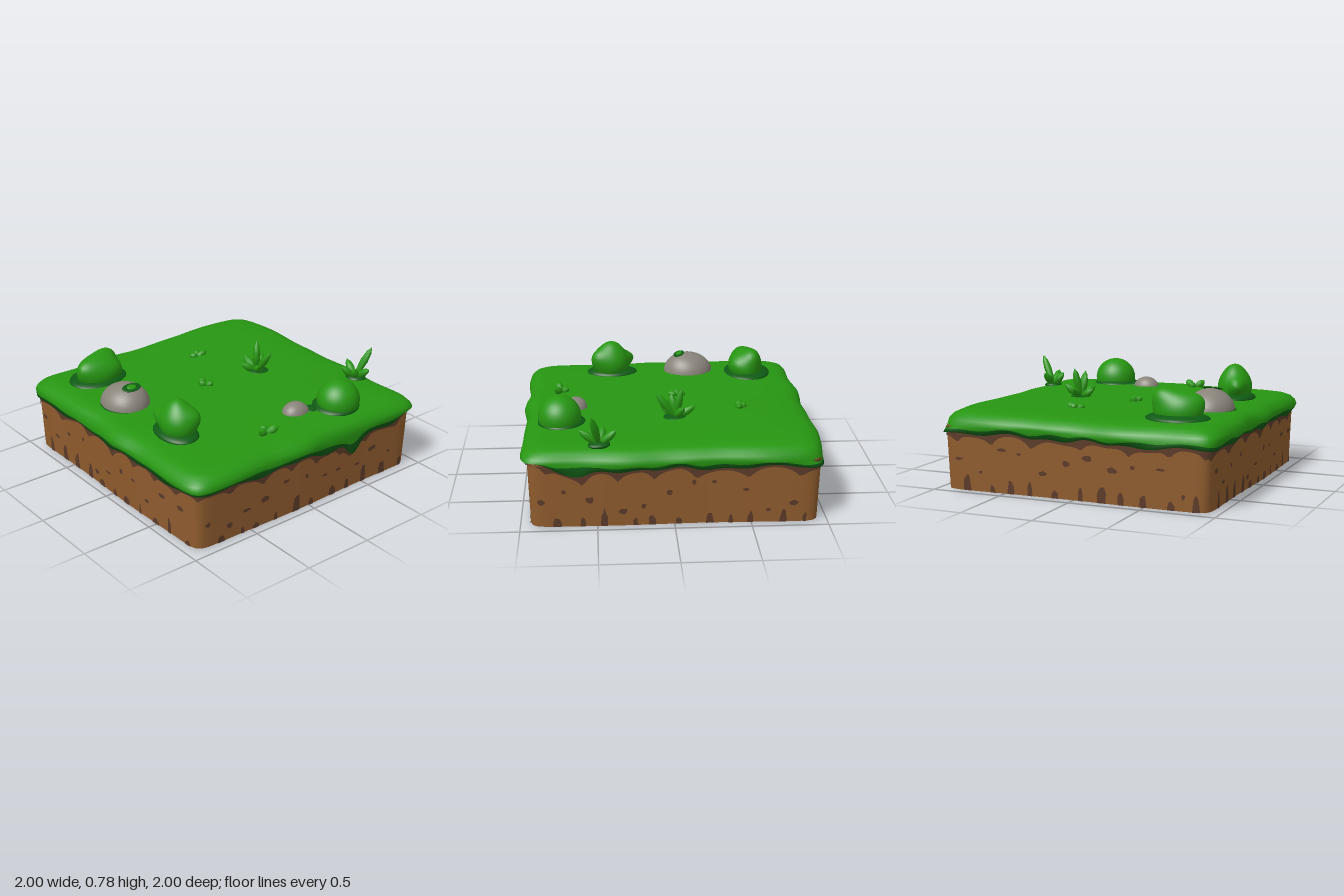
import * as THREE from 'three';

const mat = (name, color, side = THREE.FrontSide) =>
  Object.assign(new THREE.MeshStandardMaterial({ color, side }), { name });

let seed = 11;
const rnd = () => (seed = (seed * 16807) % 2147483647) / 2147483647;
const bell = (x, c, w) => Math.exp(-(((x - c) / w) ** 2));
const N = 360;
const V = (x, y, z) => new THREE.Vector3(x, y, z);

// Rounded square outline: radius factor at angle a
const square = (a, n) => (Math.abs(Math.cos(a)) ** n + Math.abs(Math.sin(a)) ** n) ** (-1 / n);

// Point on the soil wall, pushed out by off
function wall(a, y, off = 0) {
  const r = (0.94 + 0.03 * y + 0.006 * Math.sin(5 * a + 1) + off) * square(a, 24);
  return V(r * Math.cos(a), y, r * Math.sin(a));
}

// Point on the grass rim, scaled towards the centre
function rim(a, k, y) {
  const r = (0.985 + 0.009 * Math.sin(9 * a + 1) + 0.006 * Math.sin(14 * a)) * square(a, 15) * k;
  return V(r * Math.cos(a), y, r * Math.sin(a));
}

// Lower edge of the turf, with drips on the right and back
function turfEdge(a) {
  const c = Math.cos(a), s = Math.sin(a);
  let y = 0.397 + 0.009 * Math.sin(11 * a) + 0.008 * Math.sin(23 * a + 1);
  if (c > 0.7) {
    const z = 0.95 * s / c;
    y -= 0.09 * bell(z, -0.37, 0.07) + 0.035 * bell(z, -0.3, 0.32);
  }
  if (s < -0.7) y -= 0.05 * bell(-0.95 * c / s, 0.6, 0.1);
  return y + 0.05 * bell(c - s, Math.SQRT2, 0.008);
}

// Position along the nearest side, -1 to 1
function along(a) {
  const c = Math.cos(a), s = Math.sin(a);
  return Math.abs(c) > Math.abs(s) ? s / c : c / s;
}

function geometry(points, index) {
  const g = new THREE.BufferGeometry().setFromPoints(points);
  g.setIndex(index);
  g.computeVertexNormals();
  return g;
}

// Surface through closed rings, listed from the bottom up
function loft(ringFns) {
  const pts = [], idx = [];
  ringFns.forEach((f, j) => {
    for (let i = 0; i < N; i++) {
      pts.push(f((i / N) * Math.PI * 2));
      if (j === 0) continue;
      const lo = (j - 1) * N, up = j * N, k = (i + 1) % N;
      idx.push(lo + i, up + i, lo + k, up + i, up + k, lo + k);
    }
  });
  return geometry(pts, idx);
}

// Smooth mound: ellipsoid with swellings [direction, height, tightness]
function mound(size, bumps = [], detail = 36) {
  const g = new THREE.SphereGeometry(1, detail, Math.round(detail * 0.7));
  const p = g.attributes.position, v = V(0, 0, 0);
  for (let i = 0; i < p.count; i++) {
    v.fromBufferAttribute(p, i);
    let r = 1;
    for (const [d, h, k] of bumps) r += h * Math.exp(k * (v.dot(V(...d).normalize()) - 1));
    p.setXYZ(i, v.x * r * size[0], v.y * r * size[1], v.z * r * size[2]);
  }
  g.computeVertexNormals();
  return g;
}

// Voronoi cell around seeds[i], clipped out of a square
function cell(seeds, i, h) {
  let poly = [[-h, -h], [h, -h], [h, h], [-h, h]];
  const [ax, ay] = seeds[i];
  seeds.forEach(([bx, by], j) => {
    if (j === i) return;
    const side = ([x, y]) => (x - (ax + bx) / 2) * (bx - ax) + (y - (ay + by) / 2) * (by - ay);
    const out = [];
    poly.forEach((p, k) => {
      const q = poly[(k + 1) % poly.length], dp = side(p), dq = side(q);
      if (dp <= 0) out.push(p);
      if (dp * dq < 0) {
        const t = dp / (dp - dq);
        out.push([p[0] + t * (q[0] - p[0]), p[1] + t * (q[1] - p[1])]);
      }
    });
    poly = out;
  });
  return poly;
}

export function createModel() {
  const root = new THREE.Group();
  const grass = mat('grass green', 0x279612);
  const shade = mat('deep green', 0x0f5a14);
  const soil = mat('soil brown', 0x8f5c2e);
  const crack = mat('dark soil', 0x5c3b29);
  const stone = mat('stone grey', 0x89837a);
  const add = (name, geo, m, pos = [0, 0, 0], parent = root) => {
    const mesh = new THREE.Mesh(geo, m);
    mesh.name = name;
    mesh.position.set(...pos);
    parent.add(mesh);
    return mesh;
  };

  // Soil block
  add('soilWalls', loft([0.004, 0.15, 0.3, 0.44].map(y => a => wall(a, y))), soil);
  add('soilBase', loft([a => V(0, 0.004, 0), a => wall(a, 0.004)]), crack);

  // Scalloped dark band under the turf
  const bandEdge = a => turfEdge(a) - 0.022 - 0.05 * (1 - Math.abs(Math.sin(along(a) * 11 + 0.6 + Math.sin(a * 3)))) ** 2;
  add('darkBand', loft([a => wall(a, bandEdge(a), 0.004), a => wall(a, 0.43, 0.004)]), crack);

  // Dark marks on the walls: small spots, and streaks rising from the foot
  for (let side = 0; side < 4; side++) {
    for (let i = 0; i < 22; i++) {
      const foot = i % 2 === 0;
      const s = (i + 0.5) / 11 - 1 + (rnd() - 0.5) * 0.07;
      const y = foot ? 0.012 : 0.08 + rnd() * 0.22;
      const rx = 0.012 + rnd() * 0.025, ry = foot ? 0.03 + rnd() * 0.1 : 0.008 + rnd() * 0.014;
      const at = (ds, dy) => wall(side * Math.PI / 2 + Math.atan(Math.max(-0.96, Math.min(0.96, s * 0.93 + ds))),
        Math.max(0.004, y + dy), 0.004);
      const pts = [at(0, 0)], idx = [], n = 12;
      for (let k = 0; k < n; k++) {
        const t = (k / n) * Math.PI * 2, w = 0.8 + rnd() * 0.4;
        pts.push(at(rx * w * Math.cos(t), ry * w * Math.sin(t)));
        idx.push(0, 1 + ((k + 1) % n), 1 + k);
      }
      add('wallMark', geometry(pts, idx), crack);
    }
  }

  // Underside cobbles
  const seeds = [];
  for (let i = 0; i < 36; i++)
    seeds.push([((i % 6) - 2.5) * 0.31 + (rnd() - 0.5) * 0.24, (Math.floor(i / 6) - 2.5) * 0.31 + (rnd() - 0.5) * 0.24]);
  seeds.forEach((_, i) => {
    const poly = cell(seeds, i, 0.93), n = poly.length;
    const cx = poly.reduce((t, p) => t + p[0], 0) / n, cy = poly.reduce((t, p) => t + p[1], 0) / n;
    const pts = poly.map(([x, y]) => [cx + (x - cx) * 0.91, cy + (y - cy) * 0.91]);
    const mid = (k, f) => [0, 1].map(c => pts[k % n][c] * (1 - f) + pts[(k + 1) % n][c] * f);
    const shape = new THREE.Shape();
    shape.moveTo(...mid(0, 0.3));
    for (let k = 0; k < n; k++) {
      shape.lineTo(...mid(k, 0.7));
      shape.quadraticCurveTo(...pts[(k + 1) % n], ...mid(k + 1, 0.3));
    }
    add('cobble', new THREE.ShapeGeometry(shape, 4).rotateX(Math.PI / 2), soil);
  });

  // Turf: dark ragged hem, then the bright rounded top
  const edge = a => wall(a, turfEdge(a), 0.018);
  const lip = a => rim(a, 1, 0.445 + 0.008 * Math.sin(6 * a));
  const hem = a => edge(a).lerp(lip(a), 0.55 + 0.2 * Math.sin(17 * a) * Math.sin(5 * a));
  add('turfHem', loft([a => wall(a, turfEdge(a) + 0.008), edge, hem]), shade);
  const top = [[0.99, 0.475], [0.965, 0.503], [0.925, 0.522], [0.87, 0.533], [0.7, 0.54], [0.4, 0.541], [0, 0.541]];
  add('turfTop', loft([hem, lip, ...top.map(([k, y]) => a => rim(a, k, y + 0.006 * k * Math.sin(3 * a + 2)))]), grass);

  // Bushes with dark skirts
  const bushes = [
    { pos: [-0.63, 0.59, 0.61], size: [0.125, 0.13, 0.165], skirt: [-0.64, 0.61, 0.165, 0.215],
      bumps: [[[-0.35, 0.75, -0.55], 0.32, 9], [[0.2, 0.5, 0.8], 0.2, 8], [[0.8, 0.3, -0.6], 0.15, 9]] },
    { pos: [0.74, 0.58, -0.43], size: [0.145, 0.145, 0.15], skirt: [0.73, -0.42, 0.155, 0.165], bumps: [] },
    { pos: [0.38, 0.615, 0.66], size: [0.135, 0.13, 0.12], skirt: [0.37, 0.67, 0.18, 0.13],
      bumps: [[[-0.1, 1, 0], 0.25, 6], [[-1, 0.15, 0.5], 0.42, 14], [[0.9, 0.5, -0.7], 0.25, 9]] },
  ];
  for (const { pos, size, skirt: [x, z, rx, rz], bumps } of bushes) {
    const bush = new THREE.Group();
    bush.name = 'bush';
    root.add(bush);
    add('bushLeaves', mound(size, bumps), grass, pos, bush);
    add('bushSkirt', mound([rx, 0.045, rz], [[[1, 0, 1], 0.06, 4], [[-1, 0, 0.3], 0.06, 5]]), shade, [x, 0.535, z], bush);
  }
  add('bushSkirtLink', mound([0.05, 0.02, 0.06]), shade, [0.67, 0.537, -0.24]);

  // Rocks
  add('largeRock', mound([0.178, 0.145, 0.165], [[[-1, 0.1, 0.3], 0.05, 8], [[0.5, 0.7, -0.3], 0.05, 8]]), stone, [-0.2, 0.53, 0.68]);
  add('largeRockSkirt', mound([0.19, 0.02, 0.178]), shade, [-0.2, 0.533, 0.68]);
  const moss = add('mossPatch', mound([0.042, 0.007, 0.072]), shade, [-0.135, 0.669, 0.67]);
  const mossTop = add('mossCentre', mound([0.024, 0.007, 0.036]), grass, [-0.134, 0.674, 0.67]);
  moss.rotation.z = mossTop.rotation.z = -0.3;
  add('smallRock', mound([0.08, 0.08, 0.095], [[[0.5, 0, -1], 0.12, 7]]), stone, [0.635, 0.53, -0.13]);
  add('cornerPebble', mound([0.02, 0.035, 0.035]), stone, [0.945, 0.45, -0.88]);

  // Grass tufts: leaf blades [lean x, height, lean z] from a shared root
  const profile = [[0.012, 0], [0.022, 0.25], [0.028, 0.55], [0.02, 0.82], [0, 1]].map(p => new THREE.Vector2(...p));
  function tuft(name, x, z, blades, base) {
    const g = new THREE.Group();
    g.name = name;
    g.position.set(x, 0.53, z);
    root.add(g);
    for (const b of blades) {
      const dir = V(...b), len = dir.length();
      const blade = add('blade', new THREE.LatheGeometry(profile, 10), grass, [0, 0, 0], g);
      blade.scale.set(1, len, 1);
      blade.quaternion.setFromUnitVectors(V(0, 1, 0), dir.normalize());
    }
    if (base) add('tuftBase', mound([base, 0.025, base * 0.9], [[[1, 0, -1], 0.2, 6]]), shade, [0, 0, 0], g);
  }
  tuft('centreTuft', -0.04, -0.36, [[-0.04, 0.215, -0.03], [0.13, 0.18, -0.02], [0.03, 0.17, 0.03],
    [-0.14, 0.08, 0.01], [0.1, 0.08, 0.07], [-0.03, 0.07, 0.11], [-0.05, 0.1, -0.1]], 0.085);
  tuft('backTuft', 0.48, -0.84, [[0.05, 0.22, -0.11], [0.13, 0.1, -0.01], [-0.11, 0.1, -0.02],
    [-0.03, 0.09, 0.1], [0.06, 0.09, 0.06]], 0.07);
  tuft('rightSprout', 0.74, 0.22, [[0.04, 0.05, -0.08], [0.03, 0.055, 0.07], [-0.05, 0.04, -0.02]], 0);
  tuft('middleSprout', -0.08, 0.08, [[-0.06, 0.035, 0], [0.06, 0.035, -0.02], [0, 0.04, 0.05]], 0);
  tuft('leftSprout', -0.5, -0.17, [[0.01, 0.03, -0.08], [-0.04, 0.03, -0.03], [0, 0.025, 0.06]], 0);

  return root;
}
